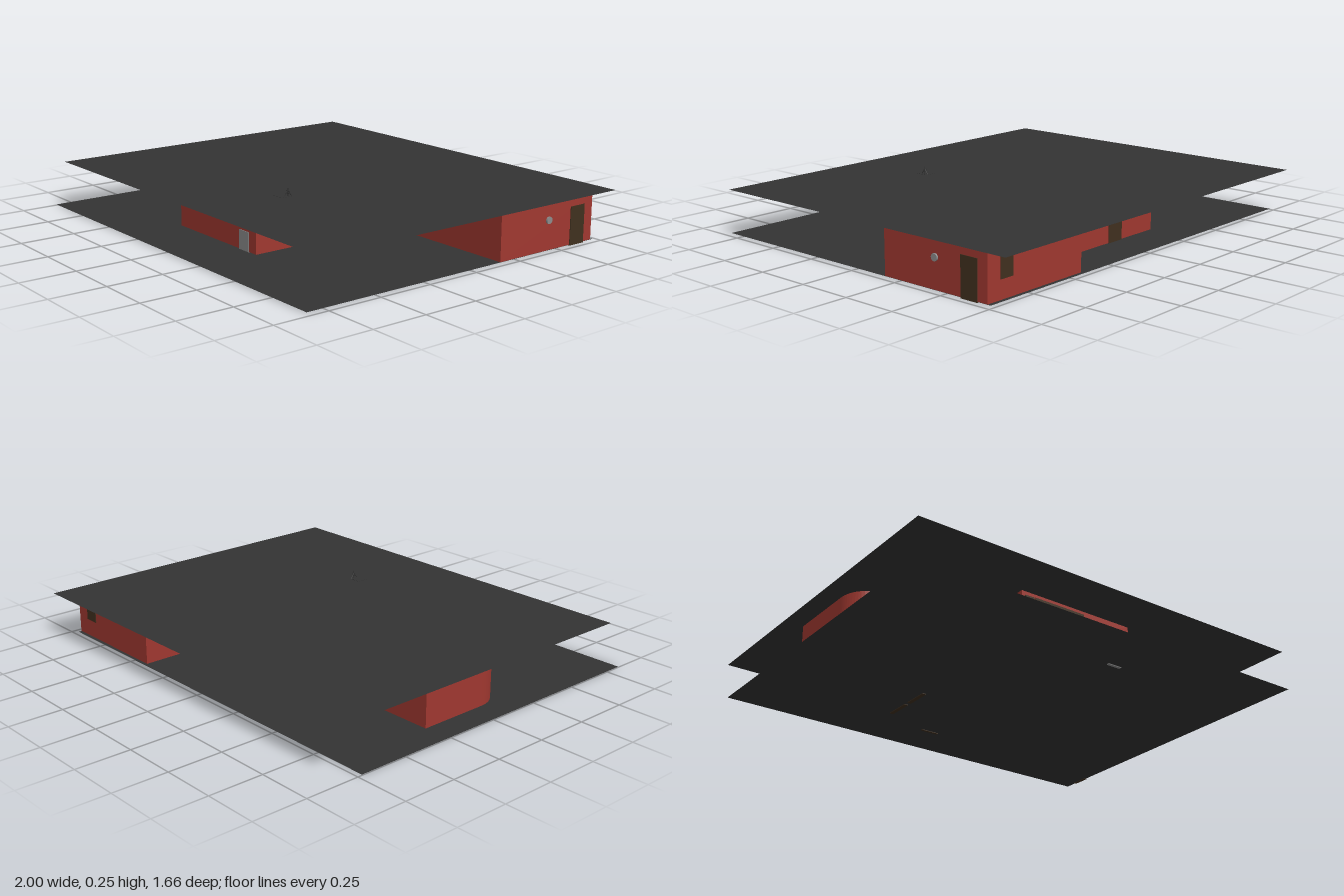
import * as THREE from 'three';

const paint = (color) => new THREE.MeshStandardMaterial({ color, side: THREE.DoubleSide });

export function createModel() {
  const house = new THREE.Group();
  house.name = 'house';
  const red = paint(0xa03830), slab = paint(0x333333), brown = paint(0x40301f);
  const grey = paint(0x8c8c8c);

  const add = (name, geometry, material) => {
    const mesh = new THREE.Mesh(geometry, material);
    mesh.name = name;
    house.add(mesh);
    return mesh;
  };
  // Box given by its limits on each axis
  const block = (name, [x0, x1], [y0, y1], [z0, z1], material) => {
    const mesh = add(name, new THREE.BoxGeometry(x1 - x0, y1 - y0, z1 - z0), material);
    mesh.position.set((x0 + x1) / 2, (y0 + y1) / 2, (z0 + z1) / 2);
    return mesh;
  };
  // Paper-thin horizontal sheet
  const sheet = (name, [x0, x1], [z0, z1], y) => {
    const mesh = add(name, new THREE.PlaneGeometry(x1 - x0, z1 - z0).rotateX(-Math.PI / 2), slab);
    mesh.position.set((x0 + x1) / 2, y, (z0 + z1) / 2);
  };

  // Ground and roof sheets
  sheet('ground', [-1, 0.97], [-0.73, 0.83], 0.003);
  sheet('roof', [-0.97, 1], [-0.83, 0.79], 0.212);
  sheet('roofPanel', [-0.06, 0.46], [0.15, 0.57], 0.215);

  // Rooms
  const high = [0.004, 0.21];
  block('mainRoom', [-0.31, 0.42], high, [-0.53, 0.2], red);
  block('frontRoom', [-0.31, 0.27], high, [0.2, 0.56], red);
  block('sideRoom', [0.42, 0.97], high, [-0.715, -0.165], red);
  block('passage', [-0.5, -0.31], high, [-0.14, 0.12], red);

  // Room with one rounded front corner (shape y becomes -z)
  const r = 0.14;
  const plan = new THREE.Shape();
  plan.moveTo(-0.88, 0.27);
  plan.lineTo(-0.88, -0.2 + r);
  plan.absarc(-0.88 + r, -0.2 + r, r, Math.PI, Math.PI * 1.5, false);
  plan.lineTo(-0.5, -0.2);
  plan.lineTo(-0.5, 0.27);
  const rounded = new THREE.ExtrudeGeometry(plan, { depth: 0.206, bevelEnabled: false, curveSegments: 8 });
  add('roundedRoom', rounded.rotateX(-Math.PI / 2), red).position.y = 0.004;

  // Front door and window, with a shutter standing slightly open
  block('frontDoor', [0.15, 0.22], [0, 0.09], [0.55, 0.563], grey);
  block('frontWindow', [-0.24, 0.02], [0.12, 0.195], [0.55, 0.563], brown);
  const shutter = block('windowShutter', [-0.293, -0.245], [0.118, 0.192], [0.554, 0.564], brown);
  shutter.rotation.z = 0.04;

  // Side door and round lamp
  block('sideDoor', [0.96, 0.973], [0, 0.172], [-0.665, -0.58], brown);
  const lamp = add('roundLamp', new THREE.CylinderGeometry(0.016, 0.016, 0.012, 20).rotateZ(Math.PI / 2), grey);
  lamp.position.set(0.971, 0.135, -0.445);

  // Back window, back door and terrace doors
  block('backWindow', [0.83, 0.9], [0.085, 0.18], [-0.718, -0.7], brown);
  block('backDoor', [-0.09, 0], [0, 0.182], [-0.533, -0.52], brown);
  for (const z of [-0.445, -0.295]) {
    block('terraceDoor', [-0.318, -0.3], [0, 0.17], [z, z + 0.128], brown);
  }

  // Aerial: mast, crossbars and splayed feet
  const rod = (name, a, b) => {
    const path = new THREE.LineCurve3(new THREE.Vector3(...a), new THREE.Vector3(...b));
    add(name, new THREE.TubeGeometry(path, 1, 0.0015, 5), slab);
  };
  rod('aerialMast', [0.225, 0.213, 0.36], [0.225, 0.252, 0.36]);
  for (const y of [0.228, 0.238]) rod('aerialBar', [0.214, y, 0.36], [0.236, y, 0.36]);
  for (const s of [-1, 1]) rod('aerialFoot', [0.225, 0.24, 0.36], [0.225, 0.214, 0.36 + s * 0.02]);
  block('aerialBase', [0.17, 0.235], [0.213, 0.216], [0.34, 0.4], slab);

  return house;
}
